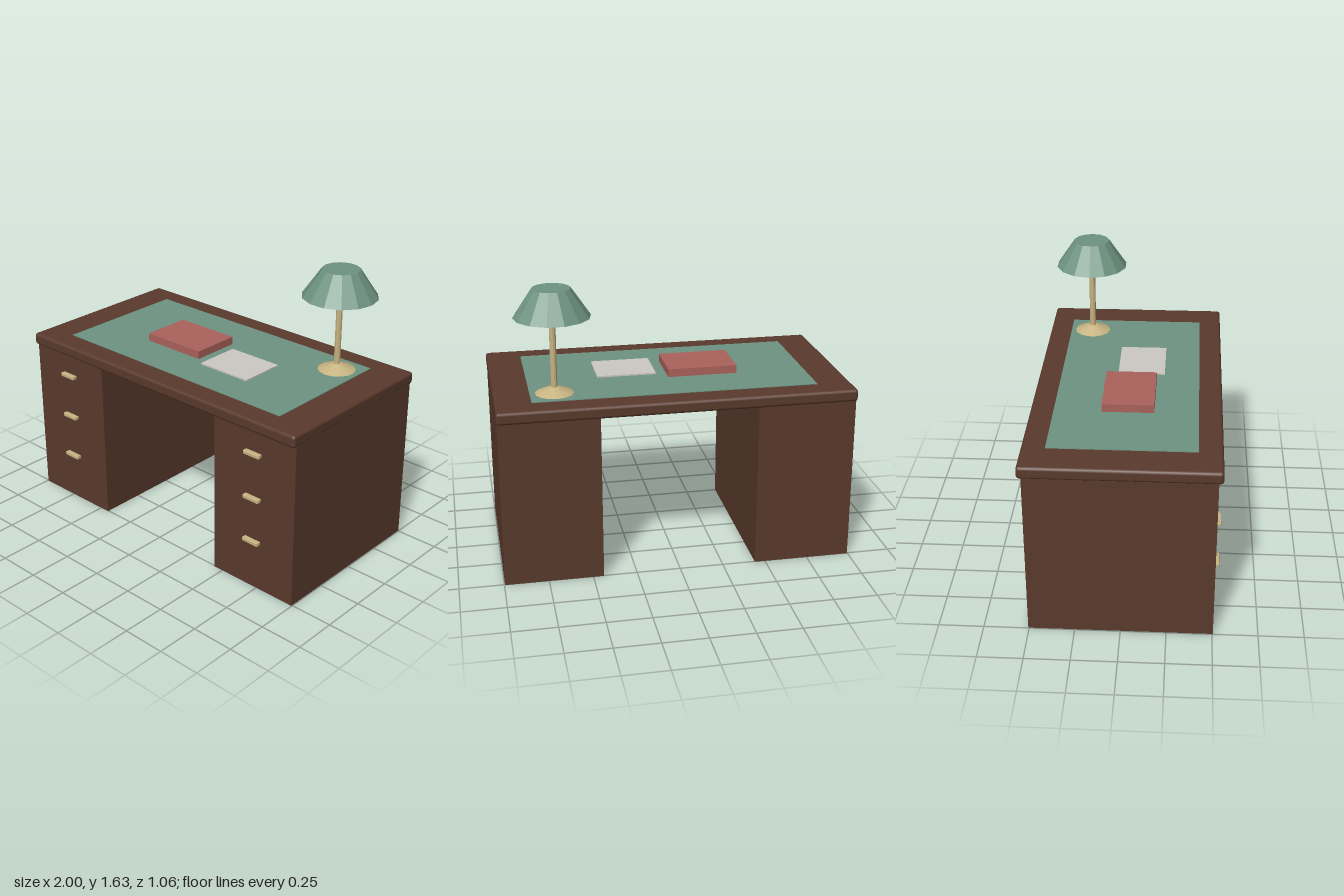
import * as THREE from 'three';
import { RoundedBoxGeometry } from 'three/addons/geometries/RoundedBoxGeometry.js';

const mat = (name, color, flatShading = false) => {
  const m = new THREE.MeshStandardMaterial({ color, flatShading });
  m.name = name;
  return m;
};

export function createModel() {
  const wood = mat('dark wood', 0x5a3a2c);
  const green = mat('green', 0x6f9482, true);
  const brass = mat('brass', 0xc8b482, true);
  const red = mat('red cover', 0xab625b);
  const white = mat('paper white', 0xcdc9c5);

  const desk = new THREE.Group();
  desk.name = 'desk';

  const add = (name, geometry, material, x, y, z, parent = desk) => {
    const mesh = new THREE.Mesh(geometry, material);
    mesh.name = name;
    mesh.position.set(x, y, z);
    parent.add(mesh);
    return mesh;
  };
  // Box given by its lower and upper corners
  const box = (name, material, [x0, y0, z0], [x1, y1, z1]) =>
    add(name, new THREE.BoxGeometry(x1 - x0, y1 - y0, z1 - z0), material,
      (x0 + x1) / 2, (y0 + y1) / 2, (z0 + z1) / 2);

  // Desk top with eased edges
  add('deskTop', new RoundedBoxGeometry(2, 0.07, 1.06, 2, 0.017), wood, 0, 0.995, 0);

  // Two drawer pedestals, each with three pulls
  for (const [side, s] of [['left', 1], ['right', -1]]) {
    add(side + 'Pedestal', new THREE.BoxGeometry(0.557, 0.965, 1.01), wood, s * 0.7185, 0.4825, 0);
    [0.295, 0.562, 0.829].forEach((y, i) =>
      add(`${side}DrawerPull${i + 1}`, new RoundedBoxGeometry(0.108, 0.022, 0.03, 1, 0.004), brass,
        s * 0.718, y, 0.518));
  }

  // Things lying on the desk
  box('blotter', green, [-0.8, 1.026, -0.4], [0.8, 1.034, 0.4]);
  box('book', red, [-0.4, 1.032, -0.135], [0, 1.08, 0.155]);
  box('paperStack', white, [0.06, 1.032, -0.07], [0.4, 1.043, 0.2]);

  // Table lamp
  const lamp = new THREE.Group();
  lamp.name = 'lamp';
  lamp.position.set(0.663, 0, -0.267);
  desk.add(lamp);
  add('lampBase', new THREE.CylinderGeometry(0.025, 0.112, 0.038, 14), brass, 0, 1.051, 0, lamp);
  add('lampStem', new THREE.CylinderGeometry(0.0185, 0.0185, 0.45, 10), brass, 0, 1.275, 0, lamp);
  const shade = add('lampShade', new THREE.CylinderGeometry(0.106, 0.212, 0.157, 14), green, 0, 1.547, 0, lamp);
  shade.rotation.y = Math.PI / 2;

  return desk;
}
